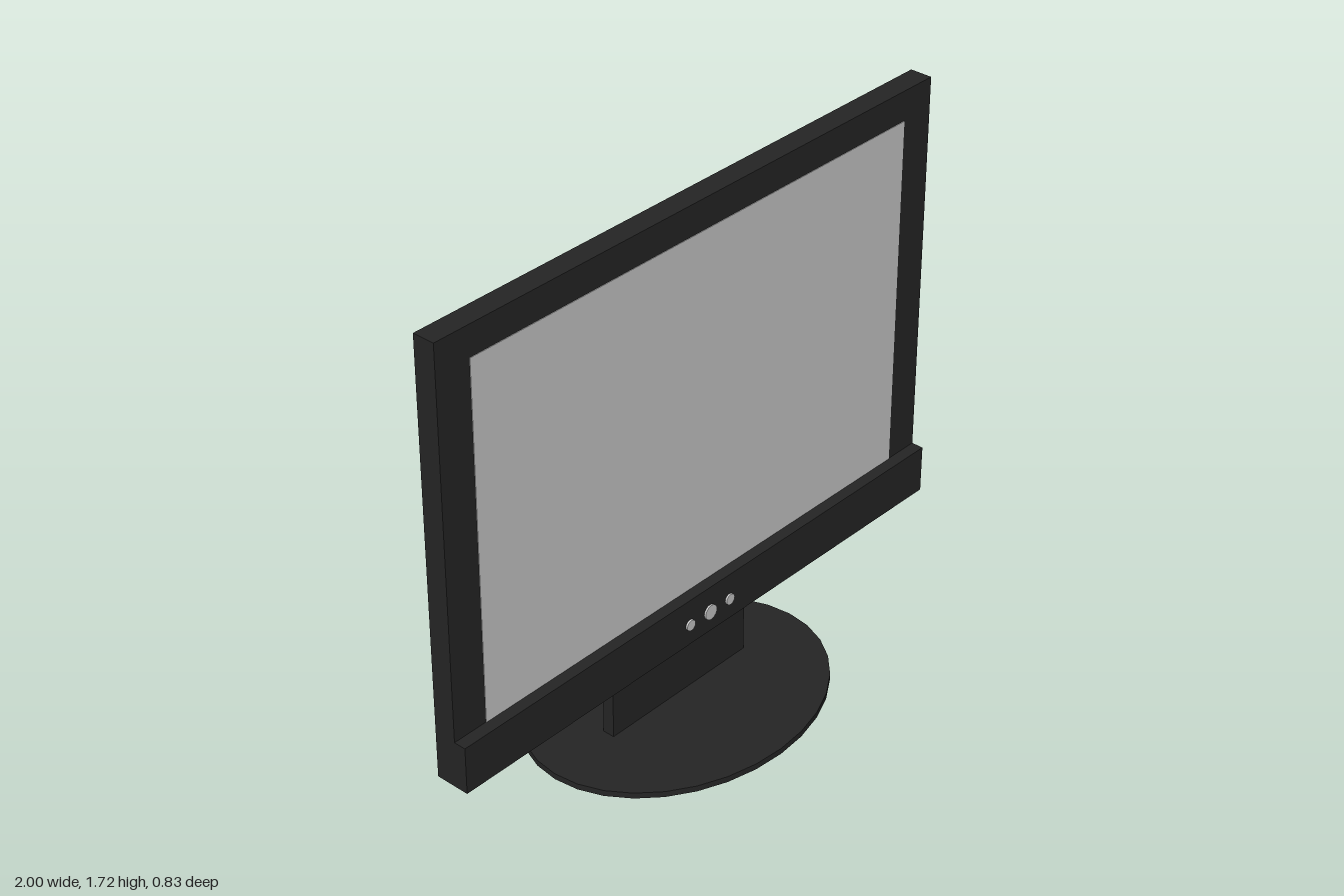
import * as THREE from 'three';

const dark = new THREE.MeshStandardMaterial({ color: 0x252525 });
const grey = new THREE.MeshStandardMaterial({ color: 0xcccccc });

export function createModel() {
  const model = new THREE.Group();
  model.name = 'monitor';

  const add = (name, geometry, material) => {
    const mesh = new THREE.Mesh(geometry, material);
    mesh.name = name;
    model.add(mesh);
    return mesh;
  };

  // Box given by its low and high corners
  const box = (name, [x0, y0, z0], [x1, y1, z1], material = dark) =>
    add(name, new THREE.BoxGeometry(x1 - x0, y1 - y0, z1 - z0), material)
      .position.set((x0 + x1) / 2, (y0 + y1) / 2, (z0 + z1) / 2);

  // Display housing with a thicker control bar along the bottom
  box('housing', [-1, 0.3, 0.01], [1, 1.72, 0.083]);
  box('controlBar', [-1, 0.3, 0.012], [1, 0.457, 0.123]);

  // Screen, flush with the bezel
  box('screen', [-0.88, 0.45, 0.07], [0.88, 1.623, 0.085], grey);

  // Round buttons, the middle one larger
  for (const [x, r] of [[-0.087, 0.018], [0, 0.025], [0.086, 0.018]]) {
    const button = new THREE.CylinderGeometry(r, r, 0.02, 20).rotateX(Math.PI / 2);
    add('button', button, grey).position.set(x, 0.37, 0.119);
  }

  // Upright stand behind the housing
  box('stand', [-0.298, 0.01, -0.03], [0.286, 0.457, 0.01]);

  // Thin oval base
  const base = new THREE.CylinderGeometry(1, 1, 0.02, 32).scale(0.527, 1, 0.413);
  add('base', base, dark).position.set(-0.01, 0.01, 0);

  return model;
}
